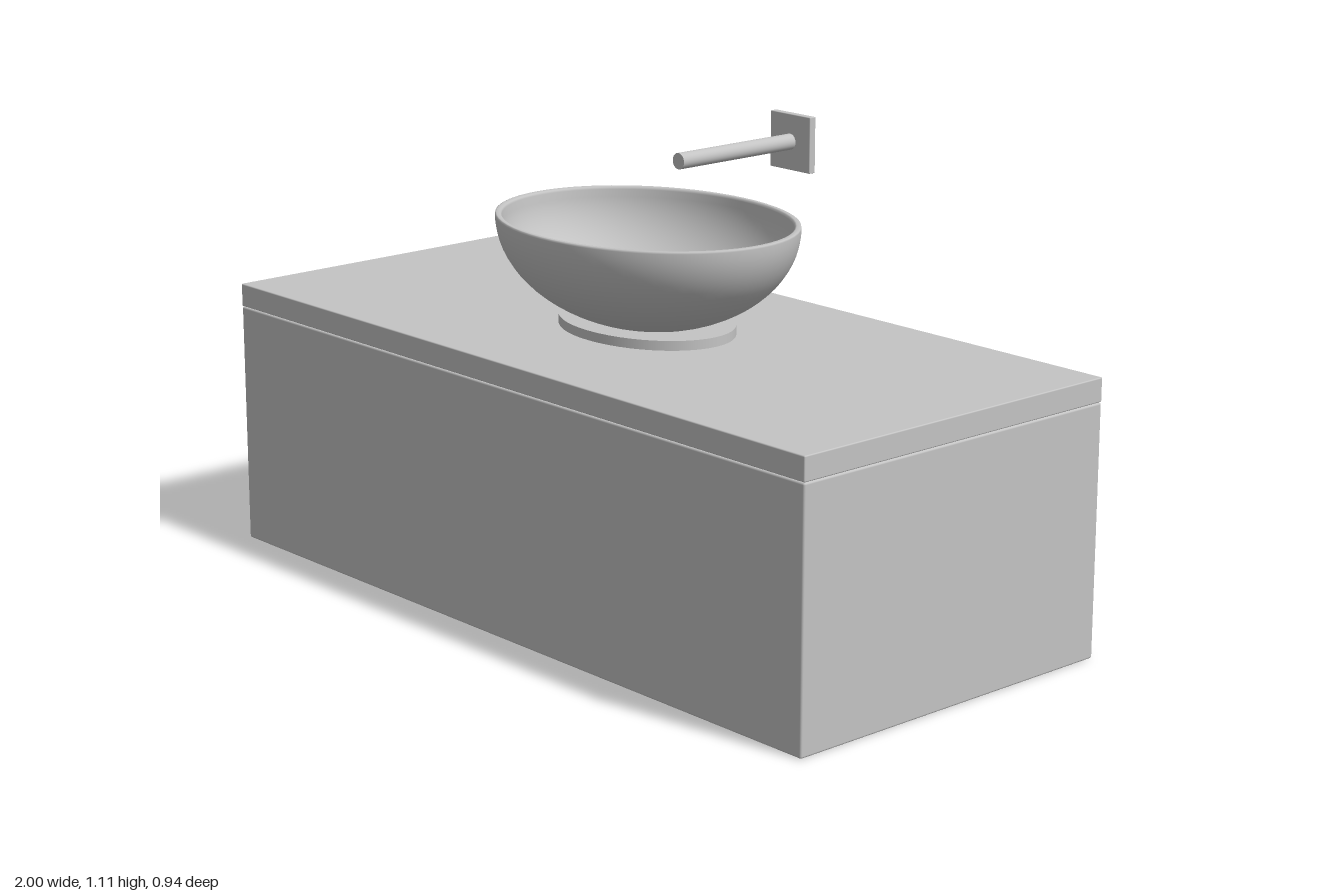
import * as THREE from 'three';
import { RoundedBoxGeometry } from 'three/addons/geometries/RoundedBoxGeometry.js';

export function createModel() {
  const group = new THREE.Group();
  const grey = new THREE.MeshStandardMaterial({ color: 0xc4c4c4 });
  const CX = -0.003, CZ = 0.01;

  const add = (name, geometry, x, y, z) => {
    const mesh = new THREE.Mesh(geometry, grey);
    mesh.name = name;
    mesh.position.set(x, y, z);
    group.add(mesh);
    return mesh;
  };

  // Cabinet and countertop with softened edges that leave a fine shadow line
  add('cabinet', new RoundedBoxGeometry(2, 0.602, 0.92, 2, 0.005), 0, 0.301, CZ);
  add('countertop', new RoundedBoxGeometry(2, 0.057, 0.92, 2, 0.003), 0, 0.6315, CZ);

  // Oval foot under the basin
  const foot = new THREE.CylinderGeometry(0.24, 0.24, 0.024, 48);
  foot.scale(1, 1, 0.75);
  add('basinFoot', foot, CX, 0.671, CZ);

  // Oval basin: outer wall, rounded lip, inner wall
  const profile = [];
  const steps = 20;
  for (let i = 0; i <= steps; i++) {
    const a = (i / steps) * Math.PI / 2;
    profile.push(new THREE.Vector2(0.398 * Math.sin(a), 0.92 - 0.255 * Math.cos(a)));
  }
  profile.push(new THREE.Vector2(0.397, 0.924), new THREE.Vector2(0.394, 0.925),
    new THREE.Vector2(0.386, 0.925), new THREE.Vector2(0.382, 0.923));
  for (let i = steps; i >= 0; i--) {
    const a = (i / steps) * Math.PI / 2;
    profile.push(new THREE.Vector2(0.38 * Math.sin(a), 0.918 - 0.233 * Math.cos(a)));
  }
  const basin = new THREE.LatheGeometry(profile, 64);
  basin.scale(1, 1, 0.805);
  add('basin', basin, CX, 0, CZ);

  // Flat drain cover
  add('drain', new THREE.CylinderGeometry(0.045, 0.045, 0.006, 32), CX, 0.686, CZ);

  // Wall-mounted spout and square plate
  const spout = new THREE.CylinderGeometry(0.0195, 0.0195, 0.365, 32);
  spout.rotateX(Math.PI / 2);
  add('spout', spout, CX, 1.044, -0.2715);
  add('wallPlate', new RoundedBoxGeometry(0.136, 0.137, 0.019, 2, 0.002), CX, 1.043, -0.4605);

  return group;
}
